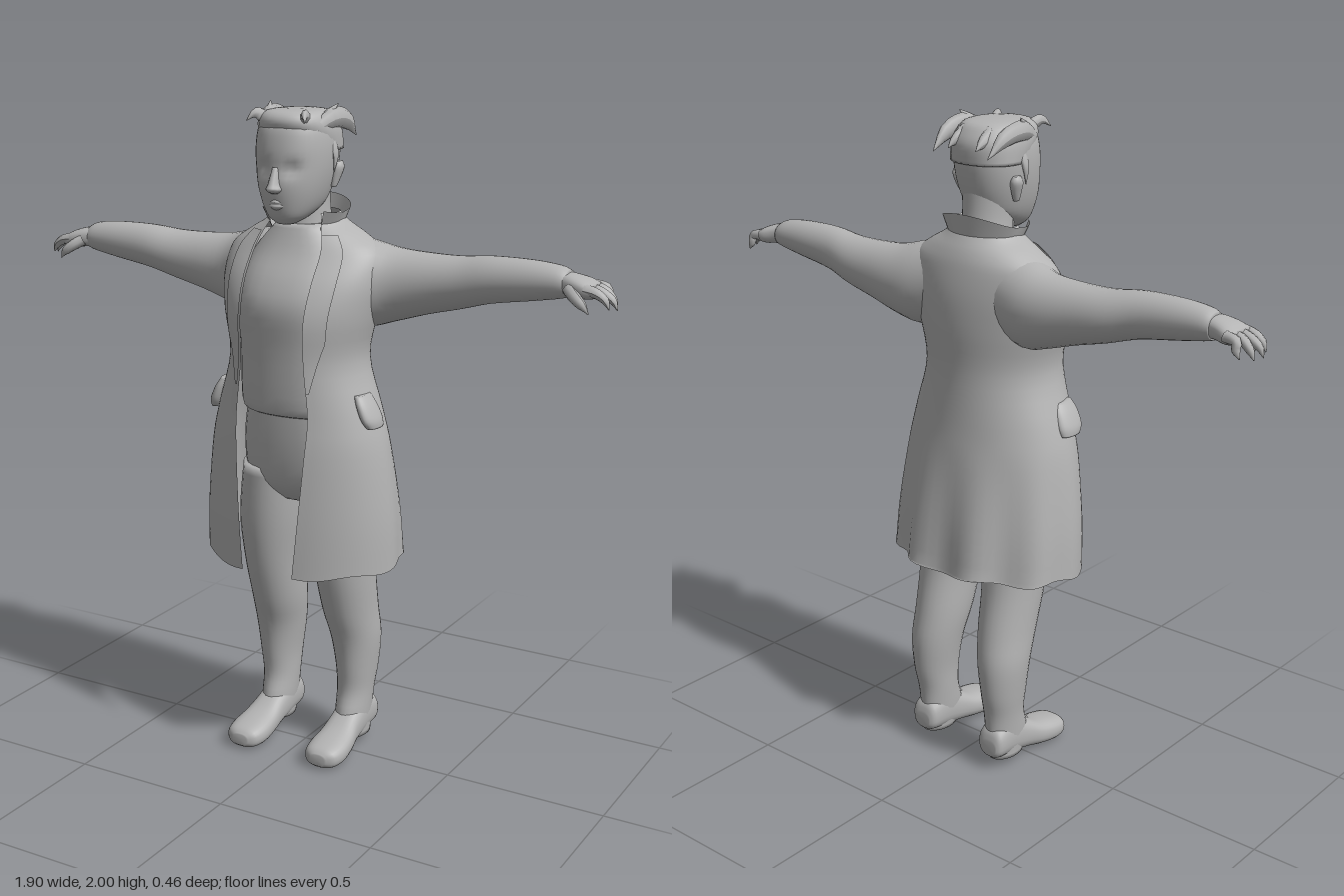
import * as THREE from 'three';

const clay = new THREE.MeshStandardMaterial({ color: 0xb4b4b4, side: THREE.DoubleSide });
clay.name = 'clay grey';

// Smoothly resample rows of section numbers
function resample(rows, steps) {
  const out = [], last = rows.length - 1;
  for (let i = 0; i < last; i++) {
    const [a, b, c, d] = [rows[Math.max(i - 1, 0)], rows[i], rows[i + 1], rows[Math.min(i + 2, last)]];
    for (let s = 0; s < steps; s++) {
      const t = s / steps;
      out.push(b.map((q, k) => {
        const v0 = (c[k] - a[k]) / 2, v1 = (d[k] - q) / 2, e = c[k] - q;
        return q + v0 * t + (3 * e - 2 * v0 - v1) * t * t + (v0 + v1 - 2 * e) * t * t * t;
      }));
    }
  }
  out.push(rows[last]);
  return out;
}

// Skin a surface over a grid of points; a closed one also gets end caps
function skin(rings, closed) {
  const n = rings[0].length, pos = rings.flat(2), idx = [], m = closed ? n : n - 1;
  for (let i = 0; i < rings.length - 1; i++) for (let j = 0; j < m; j++) {
    const k = (j + 1) % n, a = i * n + j, b = i * n + k;
    idx.push(a, b, b + n, a, b + n, a + n);
  }
  if (closed) for (const i of [0, rings.length - 1]) {
    const c = pos.length / 3;
    for (let k = 0; k < 3; k++) pos.push(rings[i].reduce((s, p) => s + p[k], 0) / n);
    for (let j = 0; j < n; j++) {
      const a = i * n + j, b = i * n + (j + 1) % n;
      if (i) idx.push(a, b, c); else idx.push(b, a, c);
    }
  }
  const g = new THREE.BufferGeometry();
  g.setAttribute('position', new THREE.Float32BufferAttribute(pos, 3));
  g.setIndex(idx);
  g.computeVertexNormals();
  return g;
}

// Closed loft along an axis; row = [position, aMin, aMax, bMin, bMax]
function loft(rows, axis, power = 1, warp = p => p, n = 28) {
  const bend = v => Math.sign(v) * Math.abs(v) ** power;
  return skin(resample(rows, 4).map(([q, a0, a1, b0, b1]) => Array.from({ length: n }, (_, j) => {
    const t = j / n * Math.PI * 2, sign = axis === 'y' ? 1 : -1;
    const a = (a0 + a1) / 2 + sign * (a1 - a0) / 2 * bend(Math.sin(t));
    const b = (b0 + b1) / 2 + (b1 - b0) / 2 * bend(Math.cos(t));
    return warp(axis === 'y' ? [a, q, b] : axis === 'x' ? [q, a, b] : [a, b, q]);
  })), true);
}

// Tapered tube used for fingers and hair tufts
function taper(points, radii, flat = 1) {
  const curve = new THREE.CatmullRomCurve3(points.map(p => new THREE.Vector3(...p)));
  const seg = 10, sides = 8, g = new THREE.TubeGeometry(curve, seg, 1, sides), P = g.attributes.position;
  const v = new THREE.Vector3();
  for (let i = 0; i < P.count; i++) {
    const u = Math.floor(i / (sides + 1)) / seg, f = u * (radii.length - 1), k = Math.min(Math.floor(f), radii.length - 2);
    const c = curve.getPointAt(u), r = THREE.MathUtils.lerp(radii[k], radii[k + 1], f - k);
    v.fromBufferAttribute(P, i).sub(c).multiplyScalar(r);
    v.x *= flat;
    P.setXYZ(i, ...v.add(c).toArray());
  }
  g.computeVertexNormals();
  return g;
}

function mirrored(g) {
  const m = g.clone().scale(-1, 1, 1), a = m.index.array;
  for (let i = 0; i < a.length; i += 3) [a[i], a[i + 1]] = [a[i + 1], a[i]];
  m.computeVertexNormals();
  return m;
}

export function createModel() {
  const model = new THREE.Group();
  const add = (name, g) => {
    const mesh = new THREE.Mesh(g, clay);
    mesh.name = name;
    model.add(mesh);
  };
  const pair = (name, g) => { add(name + 'Left', g); add(name + 'Right', mirrored(g)); };

  // Shirt and trouser seat
  add('shirt', loft([
    [1.1, -0.16, 0.16, -0.1, 0.15], [1.13, -0.18, 0.18, -0.12, 0.17], [1.3, -0.18, 0.18, -0.13, 0.18],
    [1.42, -0.19, 0.19, -0.13, 0.19], [1.5, -0.18, 0.18, -0.12, 0.165], [1.58, -0.15, 0.15, -0.11, 0.115],
    [1.66, -0.08, 0.08, -0.08, 0.08]], 'y', 0.85));
  add('trouserSeat', loft([
    [0.82, -0.1, 0.1, -0.1, 0.07], [0.88, -0.18, 0.18, -0.14, 0.12], [1.0, -0.19, 0.19, -0.14, 0.14],
    [1.14, -0.165, 0.165, -0.11, 0.145]], 'y', 0.85));

  // Legs and boots
  pair('leg', loft([
    [0.03, 0.095, 0.18, -0.14, -0.01], [0.1, 0.085, 0.185, -0.15, 0.01], [0.18, 0.08, 0.19, -0.155, -0.01],
    [0.26, 0.075, 0.2, -0.17, -0.005], [0.36, 0.06, 0.21, -0.175, 0.01], [0.46, 0.045, 0.21, -0.16, 0.045],
    [0.6, 0.035, 0.215, -0.135, 0.085], [0.75, 0.015, 0.22, -0.13, 0.11], [0.92, 0.0, 0.2, -0.13, 0.12]], 'y'));
  pair('boot', loft([
    [-0.162, 0.11, 0.165, 0.055, 0.1], [-0.145, 0.09, 0.182, 0.04, 0.14], [-0.08, 0.085, 0.185, 0.03, 0.16],
    [-0.01, 0.085, 0.187, 0.018, 0.125], [0.05, 0.08, 0.198, 0.007, 0.093], [0.11, 0.077, 0.204, 0, 0.078],
    [0.155, 0.088, 0.194, 0.003, 0.066], [0.174, 0.115, 0.165, 0.015, 0.05]], 'z', 0.8));

  // Open coat; row = [y, half width, back z, front z, half opening]
  const coatRows = resample([
    [0.635, 0.315, -0.225, 0.24, 0.085], [0.8, 0.31, -0.205, 0.237, 0.1], [1.0, 0.287, -0.175, 0.228, 0.115],
    [1.12, 0.258, -0.16, 0.22, 0.12], [1.27, 0.215, -0.152, 0.22, 0.105], [1.4, 0.238, -0.16, 0.217, 0.105],
    [1.5, 0.255, -0.158, 0.18, 0.11], [1.58, 0.245, -0.145, 0.125, 0.11], [1.625, 0.19, -0.13, 0.1, 0.1],
    [1.66, 0.13, -0.11, 0.085, 0.085], [1.69, 0.1, -0.09, 0.07, 0.075]], 4);
  const coatPoint = ([y, hx, zb, zf], t, grow = 0) => {
    const fold = Math.max(0, 1.05 - y) * 0.03 * Math.cos(t * 9) * Math.max(0, -Math.cos(t) + 0.3);
    const lift = y < 0.66 ? 0.012 * (1 - Math.cos(t)) + 0.006 * Math.cos(t * 7) : 0;
    return [(hx + fold + grow) * Math.sin(t), y + lift, (zb + zf) / 2 + ((zf - zb) / 2 + fold + grow) * Math.cos(t)];
  };
  const sheet = (rows, from, to, n, grow) => skin(rows.map(r => Array.from({ length: n + 1 }, (_, j) =>
    coatPoint(r, THREE.MathUtils.lerp(from(r), to(r), j / n), grow))), false);
  const edge = r => Math.asin(Math.min(r[4] / r[1], 0.95));
  add('coat', sheet(coatRows, edge, r => 2 * Math.PI - edge(r), 60, 0));
  // Lapels folded back along the opening
  const lapelRows = coatRows.filter(r => r[0] > 1.18 && r[0] < 1.64);
  pair('lapel', sheet(lapelRows, edge, r => edge(r) + 0.3 * Math.min(1, (r[0] - 1.17) * 6), 5, 0.007));

  // Standing collar, flaring outwards with pointed ends
  const collar = [];
  for (let i = 0; i <= 4; i++) {
    const f = i / 4, ring = [];
    for (let j = 0; j <= 32; j++) {
      const t = THREE.MathUtils.lerp(0.8 - 0.1 * f, 2 * Math.PI - 0.8 + 0.1 * f, j / 32), c = Math.cos(t);
      ring.push([(0.105 + 0.04 * f * (0.5 + 0.5 * Math.abs(c))) * Math.sin(t) * (1 + 0.1 * f * Math.max(c, 0)),
        1.635 - 0.012 * c + f * (0.06 + 0.025 * c * c), -0.01 + (0.09 + 0.012 * f) * c]);
    }
    collar.push(ring);
  }
  add('collar', skin(collar, false));

  // Pocket flaps
  pair('pocketFlap', loft([
    [1.085, 0.25, 0.285, 0.02, 0.1], [1.11, 0.235, 0.283, 0.015, 0.115], [1.15, 0.22, 0.265, 0.02, 0.115],
    [1.18, 0.21, 0.245, 0.03, 0.105]], 'y'));

  // Sleeves
  pair('sleeve', loft([
    [0.12, 1.38, 1.63, -0.13, 0.08], [0.2, 1.36, 1.615, -0.145, 0.075], [0.28, 1.38, 1.595, -0.145, 0.04],
    [0.38, 1.41, 1.588, -0.135, 0.025], [0.48, 1.435, 1.588, -0.125, 0.02], [0.58, 1.463, 1.598, -0.105, 0.02],
    [0.7, 1.483, 1.598, -0.095, 0.015], [0.78, 1.497, 1.59, -0.088, 0.008], [0.81, 1.505, 1.578, -0.082, 0]], 'x'));

  // Hands
  pair('palm', loft([
    [0.78, 1.51, 1.575, -0.075, -0.005], [0.82, 1.51, 1.572, -0.083, 0.008], [0.86, 1.506, 1.562, -0.094, 0.015],
    [0.89, 1.51, 1.548, -0.09, 0.012]], 'x', 0.8));
  [[-0.085, 0.915, 1.485], [-0.058, 0.94, 1.48], [-0.03, 0.95, 1.482], [-0.001, 0.938, 1.488]].forEach(([z, x, y], i) =>
    pair('finger' + (i + 1), taper([[0.865, 1.536, z], [0.9, 1.529, z * 1.05], [x - 0.013, y + 0.025, z * 1.1], [x, y, z * 1.1]],
      [0.017, 0.016, 0.014, 0.011, 0.001])));
  pair('thumb', taper([[0.82, 1.535, 0], [0.85, 1.515, 0.022], [0.875, 1.495, 0.028], [0.89, 1.475, 0.025]],
    [0.018, 0.017, 0.014, 0.001]));

  // Neck and head, with hollow eye sockets
  add('neck', loft([
    [1.58, -0.085, 0.085, -0.1, 0.085], [1.66, -0.075, 0.075, -0.085, 0.08], [1.72, -0.072, 0.072, -0.075, 0.08],
    [1.8, -0.075, 0.075, -0.07, 0.07]], 'y'));
  add('head', loft([
    [1.665, -0.025, 0.025, 0.085, 0.135], [1.685, -0.055, 0.055, 0.03, 0.157], [1.72, -0.08, 0.08, -0.035, 0.17],
    [1.77, -0.098, 0.098, -0.065, 0.178], [1.83, -0.11, 0.11, -0.082, 0.176], [1.89, -0.113, 0.113, -0.088, 0.172],
    [1.94, -0.105, 0.105, -0.08, 0.16], [1.97, -0.08, 0.08, -0.05, 0.13], [1.98, -0.03, 0.03, 0, 0.08]], 'y', 0.9,
    ([x, y, z]) => [x, y, z > 0.08 ? z - 0.016 * Math.exp(-(((Math.abs(x) - 0.045) / 0.024) ** 2) - ((y - 1.825) / 0.02) ** 2) : z], 40));
  add('nose', loft([
    [1.757, -0.012, 0.012, 0.16, 0.185], [1.768, -0.023, 0.023, 0.15, 0.206], [1.785, -0.017, 0.017, 0.15, 0.2],
    [1.83, -0.011, 0.011, 0.14, 0.18]], 'y', 1, p => p, 12));
  add('lips', loft([
    [1.708, -0.012, 0.012, 0.14, 0.166], [1.718, -0.027, 0.027, 0.13, 0.177], [1.726, -0.03, 0.03, 0.13, 0.174],
    [1.733, -0.022, 0.022, 0.13, 0.179], [1.742, -0.01, 0.01, 0.14, 0.17]], 'y', 1, p => p, 14));
  pair('ear', loft([
    [1.765, 0.09, 0.106, 0, 0.02], [1.79, 0.09, 0.115, -0.013, 0.022], [1.82, 0.09, 0.124, -0.022, 0.022],
    [1.838, 0.1, 0.118, -0.015, 0.012]], 'y', 1, p => p, 14));

  // Hair: cap, swept side tufts, raised tips and fringe
  add('hairCap', loft([
    [1.87, -0.112, 0.112, -0.092, 0.1], [1.92, -0.114, 0.114, -0.094, 0.15], [1.955, -0.106, 0.106, -0.078, 0.165],
    [1.98, -0.085, 0.085, -0.05, 0.145], [1.987, -0.03, 0.03, 0.01, 0.09]], 'y', 0.9));
  const tufts = [
    [[[0.085, 1.93, 0.1], [0.103, 1.96, 0.03], [0.105, 1.95, -0.05], [0.1, 1.9, -0.12]], [0.02, 0.032, 0.028, 0.001]],
    [[[0.085, 1.94, 0.06], [0.1, 1.975, 0.035], [0.112, 2.0, 0.01]], [0.025, 0.018, 0.001]],
    [[[0.06, 1.95, 0.1], [0.08, 1.975, 0.145], [0.095, 1.955, 0.17]], [0.025, 0.018, 0.001]],
    [[[0.1, 1.9, 0.03], [0.115, 1.86, 0.03], [0.113, 1.81, 0.035]], [0.018, 0.012, 0.001]],
    [[[0.045, 1.95, -0.04], [0.05, 1.93, -0.09], [0.05, 1.915, -0.112]], [0.03, 0.02, 0.001]]];
  tufts.forEach(([points, radii], i) => pair('hairTuft' + (i + 1), taper(points, radii, 0.6)));

  return model;
}
